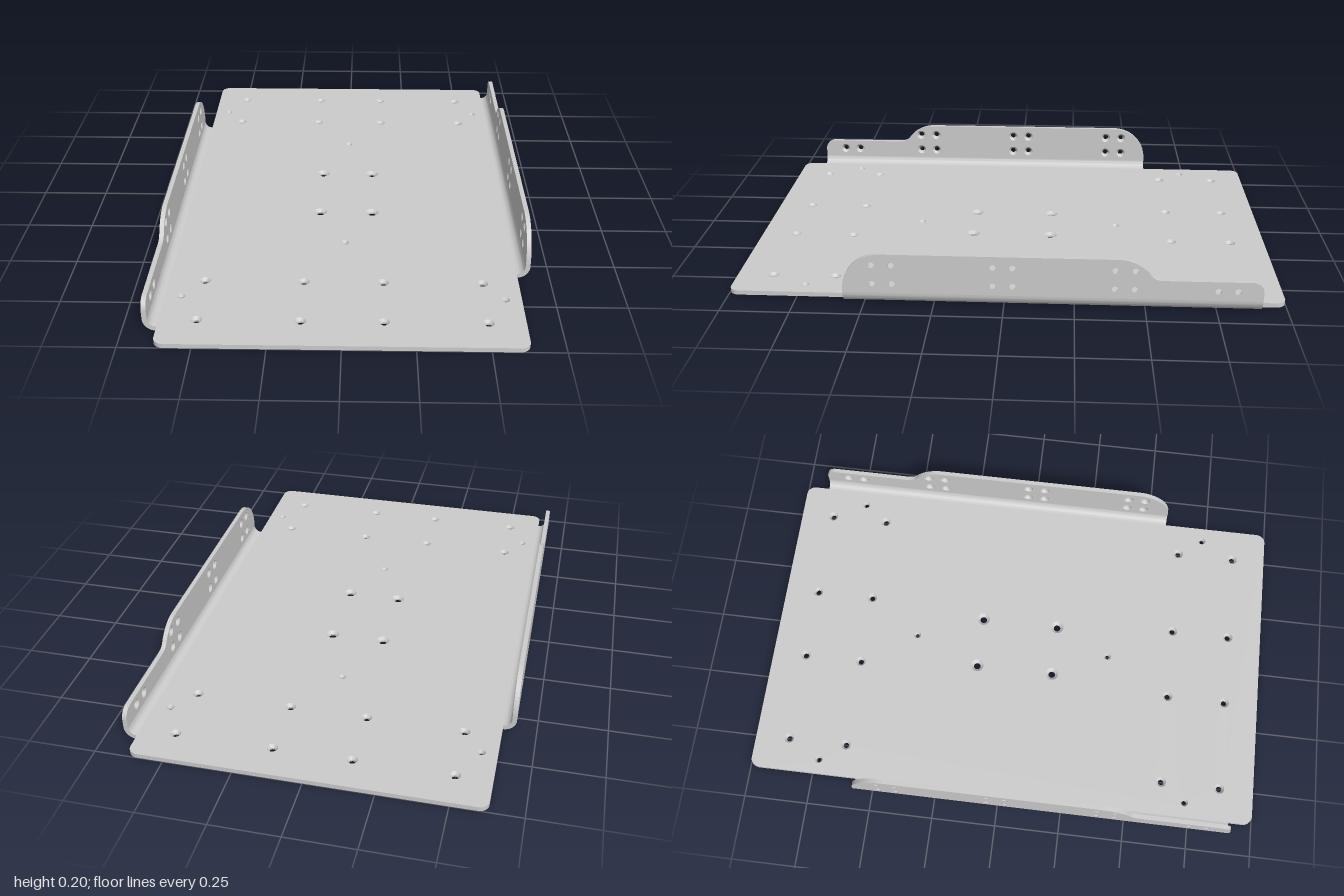
import * as THREE from 'three';
import { mergeGeometries, toCreasedNormals } from 'three/addons/utils/BufferGeometryUtils.js';

const T = 0.017;          // sheet thickness
const HALF_W = 0.63;      // plate half width, where the bends begin
const BEND = 0.047;       // outer bend radius
const Z_BACK = -0.908, Z_FRONT = 0.573; // ends of the left flange
const SEG = 10;

const plain = (g) => {
  const out = g.index ? g.toNonIndexed() : g;
  out.deleteAttribute('uv');
  out.deleteAttribute('normal');
  return out;
};

// Cap of a sheet with round holes, at height z
function cap(drawOutline, holes, radiusKey, z, flip) {
  const shape = drawOutline();
  for (const h of holes) {
    shape.holes.push(new THREE.Path().absarc(h.x, h.y, h[radiusKey], 0, Math.PI * 2, true));
  }
  const g = new THREE.ShapeGeometry(shape, SEG).translate(0, 0, z);
  if (flip) g.index.array.reverse();
  return plain(g);
}

// Flat sheet from z = 0 to T, its holes countersunk on the +z side
function sheet(drawOutline, holes) {
  const parts = [
    cap(drawOutline, holes, 'wide', T, false),
    cap(drawOutline, holes, 'narrow', 0, true),
  ];
  // outer edge
  const pts = drawOutline().extractPoints(SEG).shape;
  const pos = [];
  pts.forEach((a, i) => {
    const b = pts[(i + 1) % pts.length];
    if (a.distanceTo(b) < 1e-6) return;
    pos.push(a.x, a.y, 0, b.x, b.y, 0, b.x, b.y, T);
    pos.push(a.x, a.y, 0, b.x, b.y, T, a.x, a.y, T);
  });
  const edge = new THREE.BufferGeometry();
  edge.setAttribute('position', new THREE.Float32BufferAttribute(pos, 3));
  parts.push(edge);
  // hole walls: cone above a short straight bore
  for (const h of holes) {
    const profile = [[h.wide, T], [h.narrow, T * 0.4], [h.narrow, 0]].map((p) => new THREE.Vector2(...p));
    parts.push(plain(new THREE.LatheGeometry(profile, 2 * SEG).rotateX(Math.PI / 2).translate(h.x, h.y, 0)));
  }
  return toCreasedNormals(mergeGeometries(parts), 0.45);
}

const hole = (x, y, wide, narrow) => ({ x, y, wide, narrow });

// Rounded rectangular base outline
function plateOutline() {
  const w = HALF_W, r = 0.035, s = new THREE.Shape();
  s.absarc(w - r, 1 - r, r, 0, Math.PI / 2);
  s.absarc(-w + r, 1 - r, r, Math.PI / 2, Math.PI);
  s.absarc(-w + r, -1 + r, r, Math.PI, Math.PI * 1.5);
  s.absarc(w - r, -1 + r, r, Math.PI * 1.5, Math.PI * 2);
  s.closePath();
  return s;
}

// Flange outline: tall rounded section stepping down to a low tail
function flangeOutline() {
  const s = new THREE.Shape(), R = 0.14, top = 0.198, low = 0.12, r = 0.04;
  s.moveTo(Z_BACK, BEND);
  s.lineTo(Z_FRONT, BEND);
  s.absarc(Z_FRONT - R, top - R, R, 0, Math.PI / 2);
  s.absarc(-0.4, top - R, R, Math.PI / 2, Math.PI * 0.805);
  s.quadraticCurveTo(-0.528, low, -0.56, low);
  s.absarc(Z_BACK + r, low - r, r, Math.PI / 2, Math.PI);
  s.closePath();
  return s;
}

export function createModel() {
  const model = new THREE.Group();
  const grey = new THREE.MeshStandardMaterial({ color: 0xcccccc });

  // Base plate and its hole pattern
  const holes = [hole(0, 0.42, 0.015, 0.008), hole(0, -0.375, 0.015, 0.008)];
  for (const sx of [-1, 1]) {
    for (const sy of [-1, 1]) {
      holes.push(hole(sx * 0.103, sy * 0.155, 0.026, 0.014));
      holes.push(hole(sx * 0.572, sy * 0.732, 0.015, 0.009));
      for (const x of [0.143, 0.5]) {
        for (const y of [0.635, 0.866]) holes.push(hole(sx * x, sy * y, 0.02, 0.011));
      }
    }
  }
  const plate = new THREE.Mesh(sheet(plateOutline, holes).rotateX(-Math.PI / 2), grey);
  plate.name = 'basePlate';
  model.add(plate);

  // Upright flange, countersunk on its inner face
  const sideHoles = [];
  for (const z of [0.465, 0.395, 0.038, -0.032, -0.39, -0.46]) {
    for (const y of [0.083, 0.155]) sideHoles.push(hole(z, y, 0.02, 0.011));
  }
  for (const z of [-0.75, -0.818]) sideHoles.push(hole(z, 0.083, 0.02, 0.011));
  const toSide = new THREE.Matrix4().makeBasis(
    new THREE.Vector3(0, 0, 1), new THREE.Vector3(0, 1, 0), new THREE.Vector3(-1, 0, 0),
  ).setPosition(HALF_W + BEND, 0, 0);
  const flangeGeo = sheet(flangeOutline, sideHoles).applyMatrix4(toSide);

  // Quarter-round bend joining plate and flange
  const arc = new THREE.Shape();
  arc.absarc(HALF_W, BEND, BEND, -Math.PI / 2, 0, false);
  arc.absarc(HALF_W, BEND, BEND - T, 0, -Math.PI / 2, true);
  arc.closePath();
  const bendGeo = toCreasedNormals(
    plain(new THREE.ExtrudeGeometry(arc, { depth: Z_FRONT - Z_BACK, bevelEnabled: false, curveSegments: 6 })
      .translate(0, 0, Z_BACK)), 0.45);

  // The two sides are the same part, turned half a revolution
  ['left', 'right'].forEach((name, i) => {
    const side = new THREE.Group();
    side.name = name + 'Side';
    const flange = new THREE.Mesh(flangeGeo, grey);
    flange.name = name + 'Flange';
    const bend = new THREE.Mesh(bendGeo, grey);
    bend.name = name + 'Bend';
    side.add(flange, bend);
    side.rotation.y = i * Math.PI;
    model.add(side);
  });
  return model;
}
